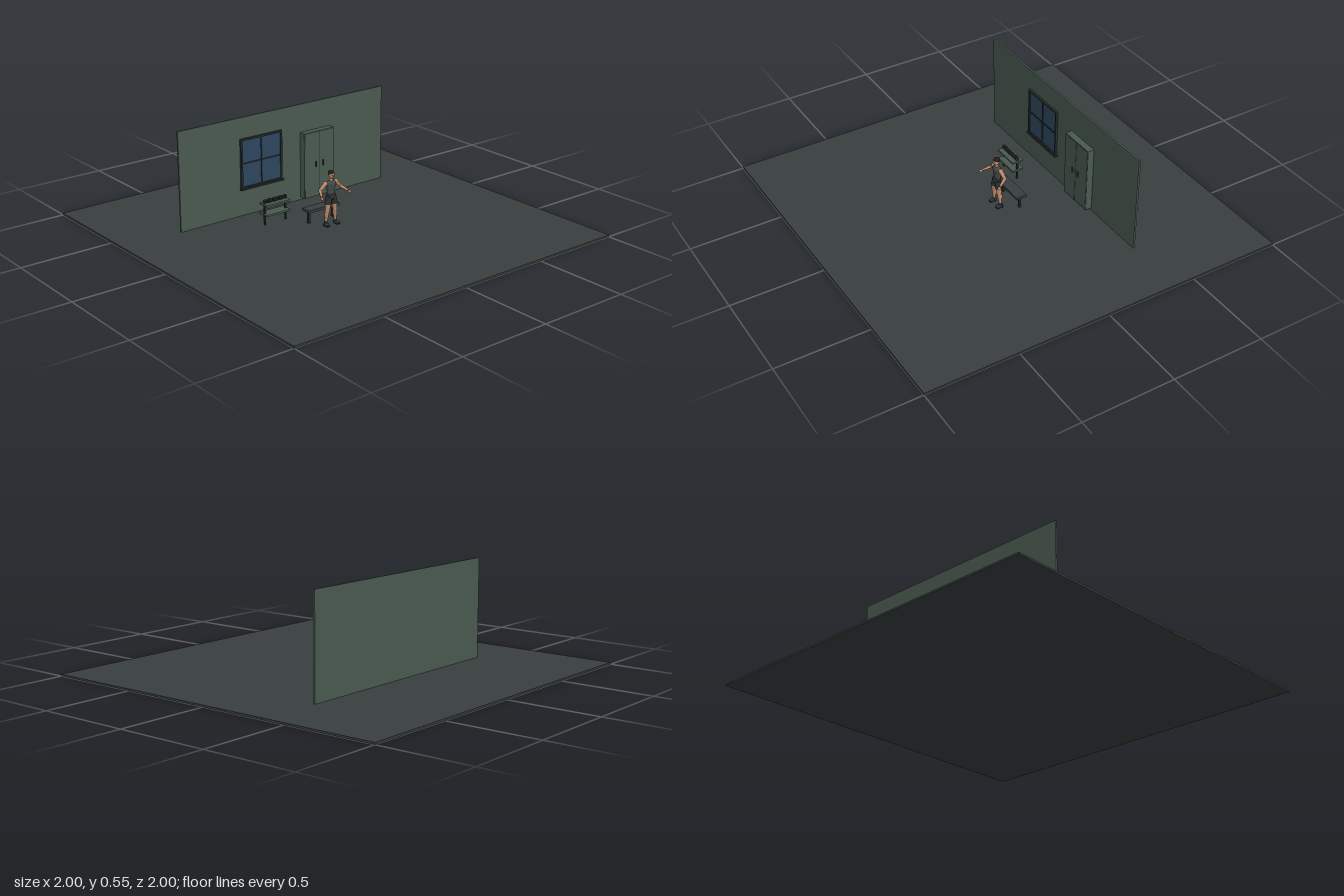
import * as THREE from 'three';

const mat = (name, color) => {
  const m = new THREE.MeshStandardMaterial({ color });
  m.name = name;
  return m;
};

export function createModel() {
  const floorGrey = mat('floor grey', 0x383e3f);
  const wallGreen = mat('wall green', 0x4a5a50);
  const glassBlue = mat('glass blue', 0x2d465e);
  const frameDark = mat('frame dark', 0x272d2e);
  const skin = mat('skin', 0xc08a6c);
  const shirt = mat('shirt grey green', 0x424b49);
  const shorts = mat('shorts charcoal', 0x2b2f31);
  const hairDark = mat('hair dark', 0x231e1c);
  const shoeBlue = mat('shoe dark blue', 0x2a3440);

  const model = new THREE.Group();
  const group = (name, x = 0, y = 0, z = 0) => {
    const g = new THREE.Group();
    g.name = name;
    g.position.set(x, y, z);
    model.add(g);
    return g;
  };
  const add = (parent, name, geo, material, x = 0, y = 0, z = 0) => {
    const m = new THREE.Mesh(geo, material);
    m.name = name;
    m.position.set(x, y, z);
    parent.add(m);
    return m;
  };
  const box = (parent, name, w, h, d, material, x, y, z) =>
    add(parent, name, new THREE.BoxGeometry(w, h, d), material, x, y, z);
  const ball = (parent, name, rx, ry, rz, material, x, y, z) => {
    const m = add(parent, name, new THREE.SphereGeometry(1, 20, 14), material, x, y, z);
    m.scale.set(rx, ry, rz);
    return m;
  };
  // Tapered limb segment between two points
  const limb = (parent, name, a, b, ra, rb, material) => {
    const p = new THREE.Vector3(...a), q = new THREE.Vector3(...b);
    const dir = q.clone().sub(p);
    const m = add(parent, name, new THREE.CylinderGeometry(rb, ra, dir.length(), 14), material);
    m.position.copy(p).add(q).multiplyScalar(0.5);
    m.quaternion.setFromUnitVectors(new THREE.Vector3(0, 1, 0), dir.normalize());
    return m;
  };
  // Elliptical body form from a [radius, y] profile
  const body = (parent, name, profile, depth, material, z) => {
    const pts = profile.map(([r, y]) => new THREE.Vector2(r, y));
    const m = add(parent, name, new THREE.LatheGeometry(pts, 24), material, 0, 0, z);
    m.scale.z = depth;
    return m;
  };

  // Floor and back wall
  box(model, 'floor', 2, 0.01, 2, floorGrey, 0, 0.005, 0);
  box(model, 'wall', 1.33, 0.535, 0.01, wallGreen, 0, 0.2775, -0.385);

  // Window with frame, cross bars and sill
  const win = group('window', -0.161, 0.295, -0.375);
  box(win, 'glass', 0.25, 0.262, 0.004, glassBlue, 0, 0, -0.002);
  for (const s of [-1, 1]) {
    box(win, 'frameSide', 0.01, 0.272, 0.012, frameDark, s * 0.127, 0, 0.001);
    box(win, 'frameRail', 0.264, 0.01, 0.012, frameDark, 0, s * 0.131, 0.001);
  }
  box(win, 'verticalBar', 0.006, 0.262, 0.008, frameDark, 0, 0, 0.001);
  box(win, 'horizontalBar', 0.25, 0.006, 0.008, frameDark, 0, 0, 0.001);
  box(win, 'sill', 0.275, 0.009, 0.02, frameDark, 0, -0.137, 0.003);

  // Two-door locker
  const locker = group('locker', 0.198, 0.207, -0.362);
  box(locker, 'cabinet', 0.2, 0.366, 0.036, wallGreen, 0, 0, 0);
  box(locker, 'doorGap', 0.003, 0.36, 0.002, frameDark, 0, 0, 0.018);
  for (const s of [-1, 1]) {
    box(locker, 'door', 0.095, 0.356, 0.003, wallGreen, s * 0.0495, 0, 0.0185);
    box(locker, 'handle', 0.005, 0.03, 0.008, frameDark, s * 0.024, 0, 0.023);
  }

  // Bench
  const bench = group('bench', 0, 0, -0.08);
  box(bench, 'seat', 0.2, 0.014, 0.06, floorGrey, 0, 0.082, 0);
  for (const s of [-1, 1]) box(bench, 'benchLeg', 0.012, 0.066, 0.012, frameDark, s * 0.08, 0.043, 0);

  // Dumbbell rack
  const rack = group('dumbbellRack', -0.204, 0, -0.202);
  for (const y of [0.067, 0.12]) box(rack, 'shelf', 0.15, 0.01, 0.065, wallGreen, 0, y, 0);
  for (const s of [-1, 1]) box(rack, 'rackLeg', 0.009, 0.11, 0.009, frameDark, s * 0.066, 0.065, 0);
  for (let i = 0; i < 4; i++) {
    const x = (i - 1.5) * 0.036;
    const bar = add(rack, 'dumbbellBar', new THREE.CylinderGeometry(0.003, 0.003, 0.026, 10), frameDark, x, 0.136, 0);
    bar.rotation.z = Math.PI / 2;
    for (const s of [-1, 1]) {
      const w = add(rack, 'dumbbellWeight', new THREE.CylinderGeometry(0.011, 0.011, 0.009, 16), frameDark, x + s * 0.011, 0.136, 0);
      w.rotation.z = Math.PI / 2;
    }
  }

  // Standing athlete: torso, neck and head
  const athlete = group('athlete', -0.003, 0, 0);
  body(athlete, 'tankTop', [[0.001, 0.17], [0.024, 0.172], [0.023, 0.19], [0.025, 0.208], [0.031, 0.228],
    [0.03, 0.24], [0.02, 0.25], [0.001, 0.254]], 0.62, shirt, 0.006);
  body(athlete, 'shortsWaist', [[0.001, 0.148], [0.024, 0.15], [0.028, 0.16], [0.026, 0.178], [0.001, 0.18]], 0.68, shorts, 0.006);
  limb(athlete, 'neck', [0, 0.242, 0.006], [0, 0.272, 0.009], 0.011, 0.009, skin);
  ball(athlete, 'head', 0.0145, 0.021, 0.0175, skin, 0, 0.282, 0.011);
  ball(athlete, 'hair', 0.0158, 0.0145, 0.0185, hairDark, 0, 0.291, 0.008);
  box(athlete, 'nose', 0.004, 0.007, 0.005, skin, 0, 0.279, 0.029);

  // Mirrored limbs
  for (const s of [-1, 1]) {
    const shoulder = [s * 0.034, 0.238, 0.004], elbow = [s * 0.064, 0.208, -0.001], wrist = [s * 0.086, 0.187, 0.04];
    ball(athlete, 'shoulder', 0.0125, 0.013, 0.0125, skin, ...shoulder);
    limb(athlete, 'upperArm', shoulder, elbow, 0.0115, 0.0085, skin);
    ball(athlete, 'elbow', 0.0087, 0.0087, 0.0087, skin, ...elbow);
    limb(athlete, 'forearm', elbow, wrist, 0.009, 0.0055, skin);
    ball(athlete, 'hand', 0.0065, 0.008, 0.011, skin, s * 0.09, 0.182, 0.048);
    box(athlete, 'eye', 0.004, 0.002, 0.002, hairDark, s * 0.006, 0.284, 0.0265);

    const hip = [s * 0.014, 0.168, 0.006], hem = [s * 0.02, 0.125, 0.008];
    const knee = [s * 0.025, 0.09, 0.009], ankle = [s * 0.031, 0.03, 0.004];
    limb(athlete, 'shortsLeg', hip, hem, 0.0165, 0.0185, shorts);
    limb(athlete, 'thigh', hem, knee, 0.0155, 0.0115, skin);
    ball(athlete, 'knee', 0.0118, 0.0125, 0.0118, skin, ...knee);
    limb(athlete, 'shin', knee, ankle, 0.0115, 0.007, skin);
    ball(athlete, 'calf', 0.0105, 0.021, 0.0115, skin, s * 0.027, 0.071, 0.003);
    limb(athlete, 'shoeCollar', [s * 0.031, 0.018, 0.004], [s * 0.031, 0.034, 0.004], 0.0105, 0.009, shoeBlue);
    ball(athlete, 'shoe', 0.0115, 0.009, 0.022, shoeBlue, s * 0.033, 0.019, 0.012);
    box(athlete, 'shoeSole', 0.019, 0.004, 0.036, frameDark, s * 0.033, 0.012, 0.012);
  }
  return model;
}
